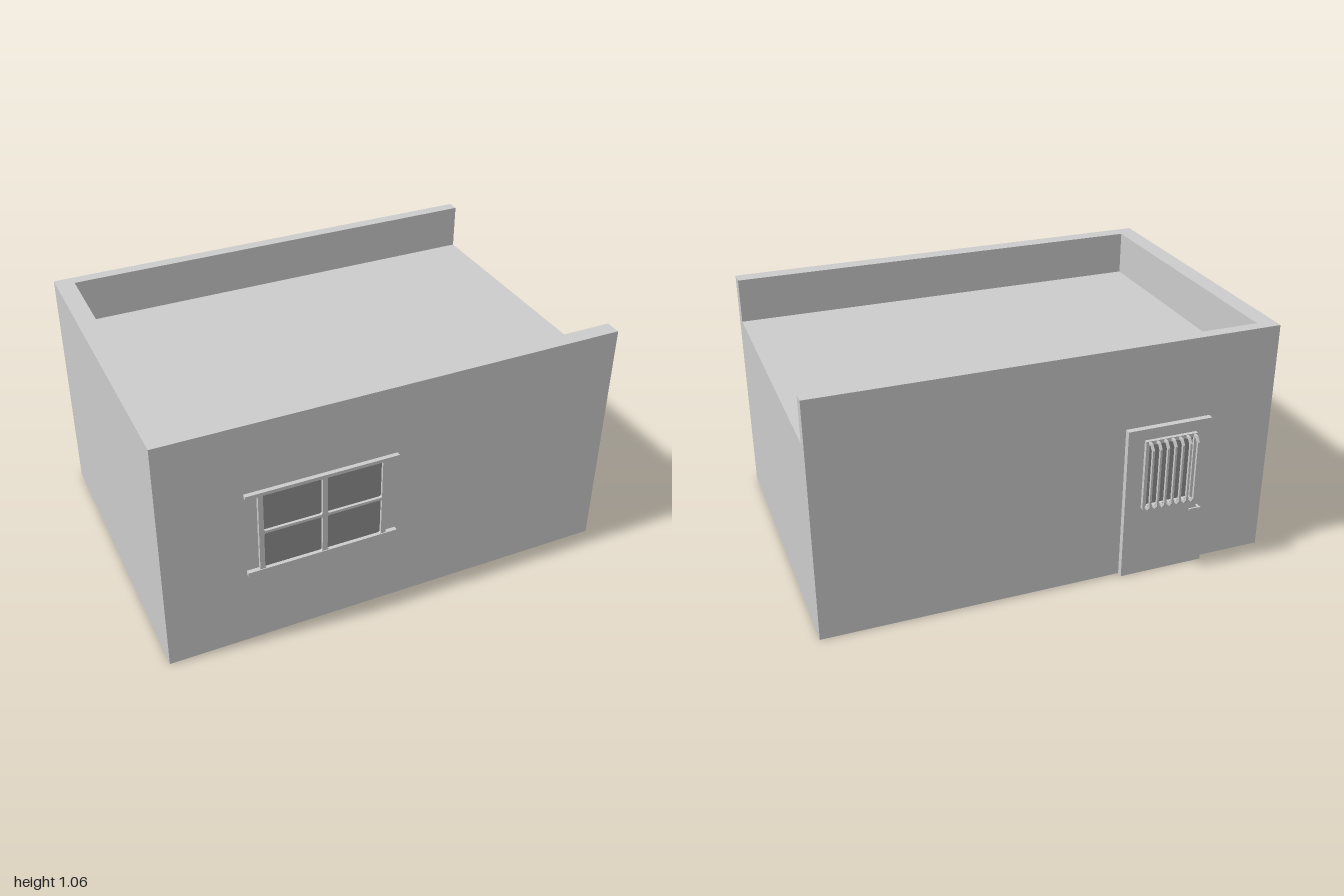
import * as THREE from 'three';

const grey = new THREE.MeshStandardMaterial({ color: 0xcccccc });
const dark = new THREE.MeshStandardMaterial({ color: 0x919191 });

function add(parent, name, geometry, material = grey) {
  const mesh = new THREE.Mesh(geometry, material);
  mesh.name = name;
  parent.add(mesh);
  return mesh;
}

// Box given by its extents on each axis
function block(parent, name, [x0, x1], [y0, y1], [z0, z1], material) {
  const mesh = add(parent, name, new THREE.BoxGeometry(x1 - x0, y1 - y0, z1 - z0), material);
  mesh.position.set((x0 + x1) / 2, (y0 + y1) / 2, (z0 + z1) / 2);
  return mesh;
}

function roundedRect(path, x0, x1, y0, y1, r) {
  path.absarc(x1 - r, y0 + r, r, -Math.PI / 2, 0);
  path.absarc(x1 - r, y1 - r, r, 0, Math.PI / 2);
  path.absarc(x0 + r, y1 - r, r, Math.PI / 2, Math.PI);
  path.absarc(x0 + r, y0 + r, r, Math.PI, Math.PI * 1.5);
  path.closePath();
  return path;
}

const polygon = (pts) => new THREE.Shape(pts.map(([x, y]) => new THREE.Vector2(x, y)));
const extrude = (shape, depth) =>
  new THREE.ExtrudeGeometry(shape, { depth, bevelEnabled: false, curveSegments: 4 });

function createBuilding() {
  const building = new THREE.Group();
  building.name = 'building';
  block(building, 'body', [-1, 1], [0, 0.86], [-0.66, 0.725]);
  // U-shaped parapet, open on the +x side (shape y is -z)
  const plan = polygon([
    [-1, -0.725], [1, -0.725], [1, -0.655], [-0.92, -0.655],
    [-0.92, 0.608], [1, 0.608], [1, 0.66], [-1, 0.66],
  ]);
  const parapet = add(building, 'parapet', extrude(plan, 0.2));
  parapet.rotation.x = -Math.PI / 2;
  parapet.position.y = 0.86;
  return building;
}

function createWindow() {
  const group = new THREE.Group();
  group.name = 'window';
  // Frame with four round-cornered openings
  const frame = polygon([[-0.603, 0.36], [-0.052, 0.36], [-0.052, 0.745], [-0.603, 0.745]]);
  for (const [x0, x1] of [[-0.582, -0.334], [-0.312, -0.073]])
    for (const [y0, y1] of [[0.37, 0.545], [0.557, 0.735]])
      frame.holes.push(roundedRect(new THREE.Path(), x0, x1, y0, y1, 0.008));
  add(group, 'windowFrame', extrude(frame, 0.015)).position.z = 0.725;
  block(group, 'windowPanes', [-0.595, -0.06], [0.365, 0.74], [0.72, 0.728], dark);
  // Lintel and sill
  block(group, 'lintel', [-0.655, -0.002], [0.735, 0.75], [0.72, 0.744]);
  block(group, 'sill', [-0.655, -0.002], [0.353, 0.37], [0.72, 0.744]);
  return group;
}

function createDoor() {
  const door = new THREE.Group();
  door.name = 'door';
  block(door, 'doorLeaf', [-0.7, -0.315], [0, 0.7], [-0.686, -0.655]);

  // Door window frame and pane
  const frame = polygon([[-0.627, 0.328], [-0.39, 0.328], [-0.39, 0.65], [-0.627, 0.65]]);
  frame.holes.push(roundedRect(new THREE.Path(), -0.612, -0.405, 0.345, 0.633, 0.006));
  add(door, 'doorWindowFrame', extrude(frame, 0.016)).position.z = -0.702;
  block(door, 'doorPane', [-0.62, -0.397], [0.335, 0.643], [-0.69, -0.685], dark);

  // Bent security bars (side profile in z, y)
  const profile = polygon([
    [-0.7, 0.333], [-0.722, 0.333], [-0.741, 0.355], [-0.741, 0.625], [-0.722, 0.648],
    [-0.7, 0.648], [-0.7, 0.636], [-0.717, 0.636], [-0.729, 0.62], [-0.729, 0.36],
    [-0.717, 0.345], [-0.7, 0.345],
  ]);
  const barGeometry = extrude(profile, 0.009);
  for (let i = 0; i < 7; i++) {
    const bar = add(door, 'securityBar', barGeometry);
    bar.rotation.y = -Math.PI / 2; // profile x becomes z, depth runs to -x
    bar.position.x = -0.608 + i * 0.0345;
  }

  // Lever handle
  const stem = add(door, 'handleStem', new THREE.CylinderGeometry(0.005, 0.005, 0.032, 12));
  stem.rotation.x = Math.PI / 2;
  stem.position.set(-0.66, 0.286, -0.7);
  block(door, 'handleLever', [-0.664, -0.61], [0.281, 0.291], [-0.714, -0.707]);
  return door;
}

export function createModel() {
  const model = new THREE.Group();
  model.name = 'flatRoofHut';
  model.add(createBuilding(), createWindow(), createDoor());
  // Centre the depth on z = 0
  const box = new THREE.Box3().setFromObject(model);
  model.position.z = -(box.min.z + box.max.z) / 2;
  return model;
}
